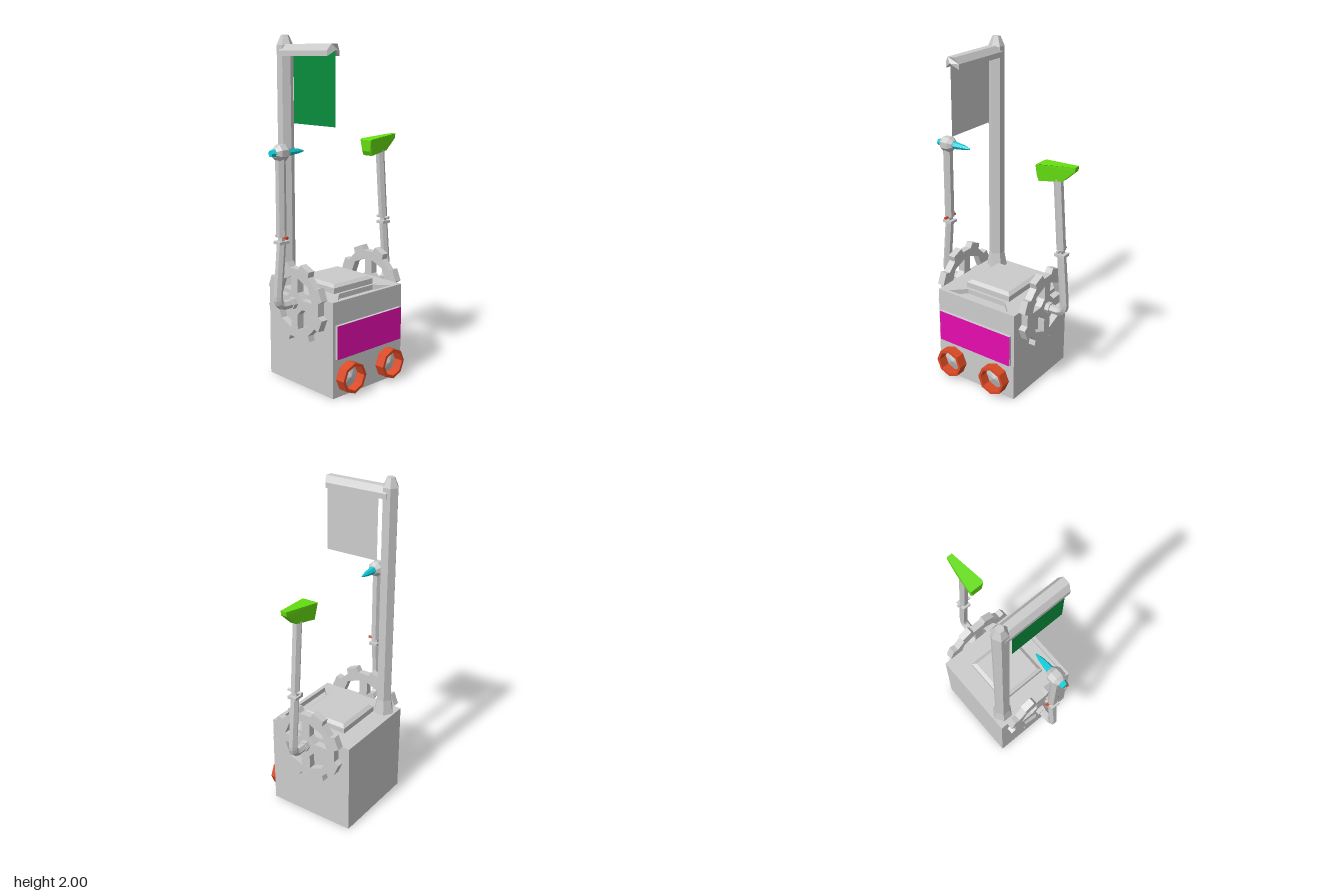
import * as THREE from 'three';

const paint = (color) => new THREE.MeshStandardMaterial({ color, flatShading: true });
const grey = paint(0xcccccc), magenta = paint(0xe60cae), red = paint(0xdc4a25);
const green = paint(0x078c3c), lime = paint(0x66e012), cyan = paint(0x10ccd8);

const MID = -0.007; // x of the mirror plane
const ARM_Z = -0.032; // depth of the side gears and arms

function add(parent, name, geometry, material = grey, x = 0, y = 0, z = 0) {
  const mesh = new THREE.Mesh(geometry, material);
  mesh.name = name;
  mesh.position.set(x, y, z);
  parent.add(mesh);
  return mesh;
}

const box = (w, h, d) => new THREE.BoxGeometry(w, h, d);
const shapeOf = (pts) => new THREE.Shape(pts.map(([x, y]) => new THREE.Vector2(x, y)));
const extrude = (shape, depth) => new THREE.ExtrudeGeometry(shape, { depth, bevelEnabled: false });
const polar = (r, a) => [r * Math.cos(a), r * Math.sin(a)];

// Straight prism between two points
function rod(parent, name, a, b, r, sides = 6, material = grey, r2 = r) {
  const from = new THREE.Vector3(...a), to = new THREE.Vector3(...b);
  const dir = to.clone().sub(from);
  const mesh = add(parent, name, new THREE.CylinderGeometry(r2, r, dir.length(), sides), material);
  mesh.position.copy(from).addScaledVector(dir, 0.5);
  mesh.quaternion.setFromUnitVectors(new THREE.Vector3(0, 1, 0), dir.normalize());
  return mesh;
}

function buildBody(root) {
  add(root, 'body', box(0.552, 0.53, 0.55), grey, MID, 0.265, -0.032);

  // Top plate with a shallow trapezoid recess near the front
  const plate = shapeOf([[-0.283, -0.243], [0.269, -0.243], [0.269, 0.307], [-0.283, 0.307]]);
  plate.holes.push(shapeOf([[-0.222, -0.22], [-0.14, -0.14], [0.13, -0.14], [0.21, -0.22]]));
  add(root, 'topPlate', extrude(plate, 0.03).rotateX(-Math.PI / 2), grey, 0, 0.53, 0);

  // Lid with a bevelled rim
  add(root, 'lidBase', box(0.31, 0.034, 0.312), grey, -0.006, 0.576, -0.033);
  const rim = new THREE.CylinderGeometry(0.268 / Math.SQRT2, 0.31 / Math.SQRT2, 0.016, 4).rotateY(Math.PI / 4);
  add(root, 'lidTop', rim, grey, -0.006, 0.601, -0.033);

  // Front panel
  add(root, 'panelBacking', box(0.514, 0.196, 0.018), grey, MID, 0.328, 0.252);
  add(root, 'panelFace', new THREE.PlaneGeometry(0.514, 0.196), magenta, MID, 0.328, 0.2615);
}

function buildLamps(root) {
  const octagon = (r) => Array.from({ length: 8 }, (_, i) => polar(r, (i * Math.PI) / 4));
  for (const x of [-0.17, 0.145]) {
    const lamp = new THREE.Group();
    lamp.name = 'frontRoundel';
    lamp.position.set(x, 0.11, 0.24);
    root.add(lamp);
    const ring = shapeOf(octagon(0.09));
    ring.holes.push(shapeOf(octagon(0.073)));
    add(lamp, 'roundelRing', extrude(ring, 0.064), red);
    add(lamp, 'roundelCore', new THREE.ConeGeometry(0.074, 0.03, 8).rotateX(Math.PI / 2), grey, 0, 0, 0.02);
  }
}

function buildMast(root) {
  const x = -0.203, z = -0.235;
  rod(root, 'mastFoot', [x, 0.555, z], [x, 0.65, z], 0.064, 6, grey, 0.047);
  rod(root, 'mast', [x, 0.64, z], [x, 1.945, z], 0.047);
  rod(root, 'mastCap', [x, 1.945, z], [x, 2, z], 0.047, 6, grey, 0.023);

  // Roof-shaped boom, its front end raked
  const roof = shapeOf([[-0.045, 0], [0, 0.032], [0.045, 0], [0.045, 0.03], [0.022, 0.065], [-0.022, 0.065], [-0.045, 0.03]]);
  const boom = extrude(roof, 0.4);
  const p = boom.attributes.position;
  for (let i = 0; i < p.count; i++) {
    if (p.getZ(i) > 0.2) p.setZ(i, 0.42 - 0.5 * Math.abs(p.getX(i)));
  }
  boom.computeVertexNormals();
  add(root, 'boom', boom, grey, x, 1.885, z);

  // Flag, coloured on one side
  const flag = new THREE.PlaneGeometry(0.34, 0.41);
  add(root, 'flagPlainSide', flag, grey, x + 0.001, 1.715, 0.01).rotation.y = Math.PI / 2;
  add(root, 'flagColouredSide', flag, green, x - 0.001, 1.715, 0.01).rotation.y = -Math.PI / 2;
}

function gearGeometry() {
  const outline = [];
  for (let i = 0; i < 8; i++) {
    const a = ((i + 0.5) * Math.PI) / 4;
    for (const [r, d] of [[0.205, -0.21], [0.237, -0.16], [0.237, 0.16], [0.205, 0.21]]) outline.push(polar(r, a + d));
  }
  const gear = shapeOf(outline);
  // Four windows leave a cross of spokes
  for (const [sx, sy] of [[1, 1], [-1, 1], [-1, -1], [1, -1]]) {
    gear.holes.push(shapeOf([[0.028, 0.065], [0.065, 0.028], [0.15, 0.028], [0.115, 0.115], [0.028, 0.15]]
      .map(([u, v]) => [u * sx, v * sy])));
  }
  return extrude(gear, 0.044).rotateY(Math.PI / 2);
}

// Gear and lower arm; s is +1 for the model's left, -1 for its right
function buildSide(root, s) {
  const side = new THREE.Group();
  side.name = s > 0 ? 'leftSide' : 'rightSide';
  root.add(side);
  const X = (d) => MID + s * d;
  const P = (d, y) => new THREE.Vector3(X(d), y, ARM_Z);

  add(side, 'gear', gearGeometry(), grey, s > 0 ? X(0.275) : X(0.319), 0.508, ARM_Z);
  rod(side, 'shoulder', [X(0.3), 0.51, ARM_Z], [X(0.346), 0.51, ARM_Z], 0.034);

  const path = new THREE.CurvePath();
  path.add(new THREE.LineCurve3(P(0.32, 0.51), P(0.39, 0.51)));
  path.add(new THREE.QuadraticBezierCurve3(P(0.39, 0.51), P(0.44, 0.51), P(0.434, 0.575)));
  path.add(new THREE.LineCurve3(P(0.434, 0.575), P(0.407, 0.872)));
  add(side, 'lowerArm', new THREE.TubeGeometry(path, 24, 0.026, 6), grey);

  // Elbow joint
  add(side, 'elbowCollar', box(0.066, 0.016, 0.056), grey, X(0.406), 0.876, ARM_Z);
  add(side, 'elbowLink', box(0.022, 0.04, 0.034), grey, X(0.405), 0.895, ARM_Z);
  rod(side, 'elbowPin', [X(0.404), 0.906, ARM_Z - 0.047], [X(0.404), 0.906, ARM_Z + 0.047], 0.009, 6, s < 0 ? red : grey);
}

function buildRightTool(root) {
  const x = -0.413, y = 1.372;
  rod(root, 'rightUpperArm', [x, 0.905, ARM_Z], [x, 1.345, ARM_Z], 0.029);

  // Faceted head lying along x
  const profile = [[0, -0.047], [0.026, -0.047], [0.047, -0.022], [0.047, 0.022], [0.026, 0.047], [0, 0.047]];
  const head = new THREE.LatheGeometry(profile.map(([r, h]) => new THREE.Vector2(r, h)), 8);
  add(root, 'toolHead', head.rotateY(Math.PI / 8).rotateZ(-Math.PI / 2), grey, x + 0.003, y, ARM_Z);

  rod(root, 'toolButt', [-0.45, y, ARM_Z], [-0.482, y, ARM_Z], 0.027, 6, cyan, 0.018);
  rod(root, 'toolSpike', [-0.37, y, ARM_Z], [-0.29, y, ARM_Z], 0.024, 6, cyan, 0.015);
  rod(root, 'toolTip', [-0.29, y, ARM_Z], [-0.248, y - 0.002, ARM_Z], 0.015, 6, cyan, 0.004);
}

function buildLeftTool(root) {
  rod(root, 'leftUpperArm', [0.396, 0.905, ARM_Z], [0.363, 1.33, ARM_Z], 0.027);

  // Wedge head: narrows towards its outer end and underside
  const wedge = extrude(shapeOf([[0.24, 1.392], [0.243, 1.325], [0.258, 1.298], [0.4, 1.32], [0.476, 1.39], [0.479, 1.416], [0.255, 1.398]]), 1);
  const p = wedge.attributes.position;
  for (let i = 0; i < p.count; i++) {
    const x = p.getX(i), y = p.getY(i);
    const half = x < 0.25 ? 0.043 : THREE.MathUtils.mapLinear(x, 0.255, 0.479, 0.049, 0.018);
    const under = y < 1.33 ? 0.72 : 1;
    p.setZ(i, ARM_Z + (p.getZ(i) > 0.5 ? 1 : -1) * half * under);
  }
  wedge.computeVertexNormals();
  add(root, 'wedgeHead', wedge, lime);
}

export function createModel() {
  const root = new THREE.Group();
  root.name = 'boxRobot';
  buildBody(root);
  buildLamps(root);
  buildMast(root);
  for (const s of [1, -1]) buildSide(root, s);
  buildRightTool(root);
  buildLeftTool(root);
  return root;
}
